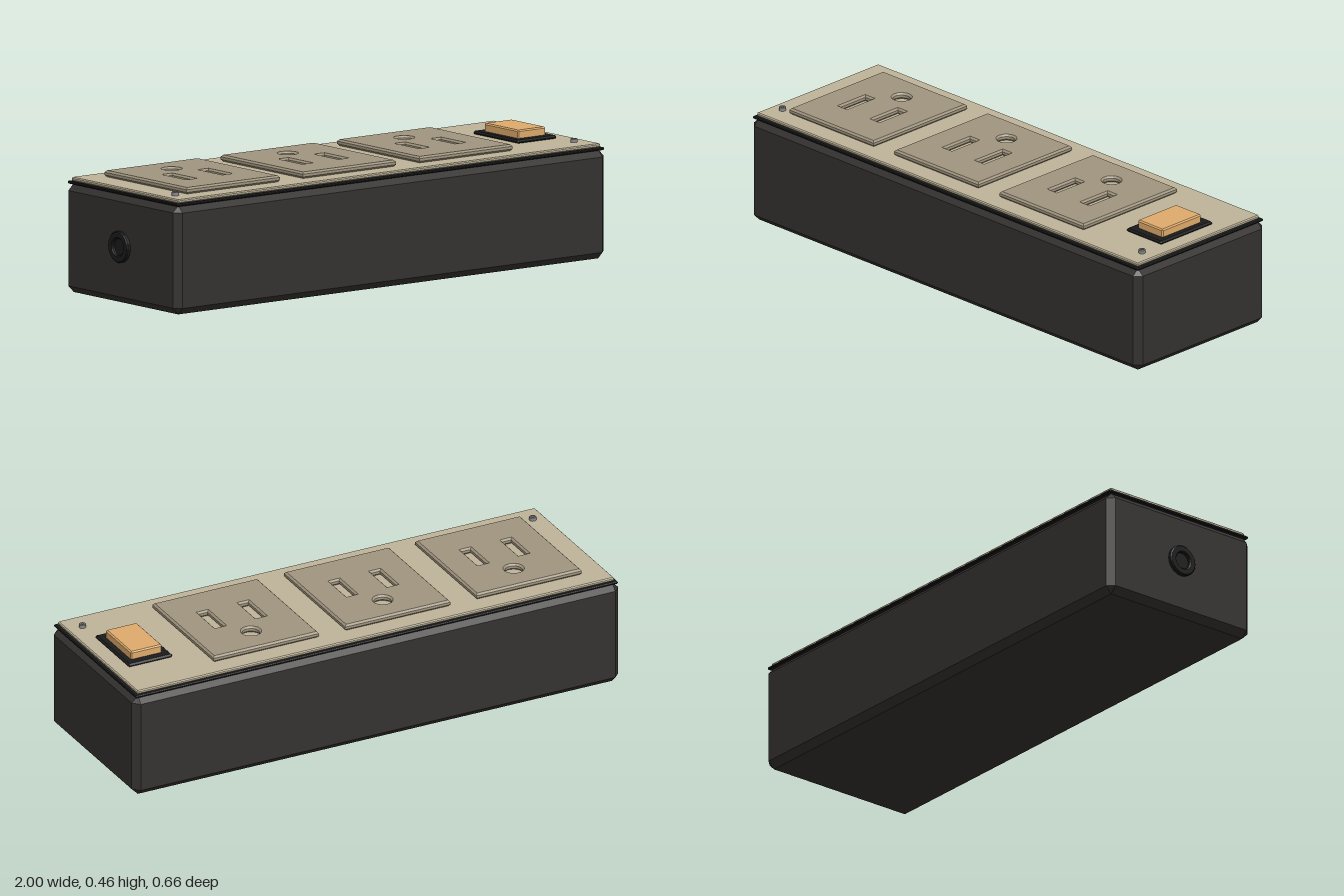
import * as THREE from 'three';
import { ConvexGeometry } from 'three/addons/geometries/ConvexGeometry.js';

const mat = (color) => new THREE.MeshStandardMaterial({ color, flatShading: true });
const black = mat(0x343230), rubber = mat(0x1b1b1b), beige = mat(0xbfb499);
const taupe = mat(0xa0957f), orange = mat(0xdfab6c), steel = mat(0x8a8a8a);

// Box given by its limits, with all edges cut at 45 degrees
function chamferBox(x0, x1, y0, y1, z0, z1, c) {
  const h = [(x1 - x0) / 2, (y1 - y0) / 2, (z1 - z0) / 2];
  const points = [];
  for (const sx of [-1, 1]) for (const sy of [-1, 1]) for (const sz of [-1, 1])
    for (let full = 0; full < 3; full++) {
      const p = h.map((v, i) => (i === full ? v : v - c));
      points.push(new THREE.Vector3(sx * p[0], sy * p[1], sz * p[2]));
    }
  return new ConvexGeometry(points).translate((x0 + x1) / 2, (y0 + y1) / 2, (z0 + z1) / 2);
}

function rectPath(target, cx, cy, w, h) {
  target.moveTo(cx - w / 2, cy - h / 2);
  target.lineTo(cx + w / 2, cy - h / 2);
  target.lineTo(cx + w / 2, cy + h / 2);
  target.lineTo(cx - w / 2, cy + h / 2);
  target.closePath();
  return target;
}

// Socket face with two blade slots and a round ground hole
function outletGeometry() {
  const b = 0.007;
  const face = rectPath(new THREE.Shape(), 0, 0, 0.43 - 2 * b, 0.48 - 2 * b);
  for (const s of [-1, 1])
    face.holes.push(rectPath(new THREE.Path(), s * 0.083, -0.03, 0.036 + 2 * b, 0.13 + 2 * b));
  face.holes.push(new THREE.Path().absarc(0, 0.12, 0.032 + b, 0, Math.PI * 2, true));
  const geo = new THREE.ExtrudeGeometry(face, {
    depth: 0.024 - 2 * b, bevelEnabled: true, bevelSize: b, bevelThickness: b,
    bevelSegments: 1, curveSegments: 10,
  });
  return geo.rotateX(-Math.PI / 2).translate(0, b, 0);
}

export function createModel() {
  const group = new THREE.Group();
  const add = (name, geometry, material) => {
    const mesh = new THREE.Mesh(geometry, material);
    mesh.name = name;
    group.add(mesh);
    return mesh;
  };

  // Housing, gasket and cover plate
  add('housing', chamferBox(-0.985, 1, 0, 0.4, -0.33, 0.33, 0.025), black);
  add('gasket', chamferBox(-0.976, 0.991, 0.398, 0.408, -0.322, 0.322, 0.003), rubber);
  add('coverPlate', chamferBox(-0.966, 0.981, 0.408, 0.422, -0.312, 0.312, 0.004), beige);

  // Row of three outlets
  const outlet = outletGeometry();
  for (const x of [-0.655, -0.12, 0.417])
    add('outlet', outlet, taupe).position.set(x, 0.422, 0);

  // Rocker switch
  add('switchBezel', chamferBox(0.742, 0.922, 0.42, 0.434, -0.133, 0.133, 0.006), rubber);
  add('switchRocker', chamferBox(0.768, 0.896, 0.428, 0.464, -0.1, 0.1, 0.005), orange);

  // Corner screws with a recessed head
  const screwProfile = [[0.013, 0], [0.013, 0.012], [0.011, 0.014], [0.006, 0.014], [0.005, 0.008], [0, 0.008]]
    .map(([r, y]) => new THREE.Vector2(r, y));
  const screw = new THREE.LatheGeometry(screwProfile, 12);
  for (const x of [-0.915, 0.922])
    add('screw', screw, steel).position.set(x, 0.422, 0.23);

  // Cable grommet on the end wall
  const grommetProfile = [[0.058, -0.005], [0.058, 0.011], [0.054, 0.015], [0.036, 0.015], [0.032, 0.011], [0.032, 0.002], [0, 0.002]]
    .map(([r, y]) => new THREE.Vector2(r, y));
  const grommet = add('cableGrommet', new THREE.LatheGeometry(grommetProfile, 20), rubber);
  grommet.rotation.z = Math.PI / 2;
  grommet.position.set(-0.985, 0.21, 0);

  return group;
}
